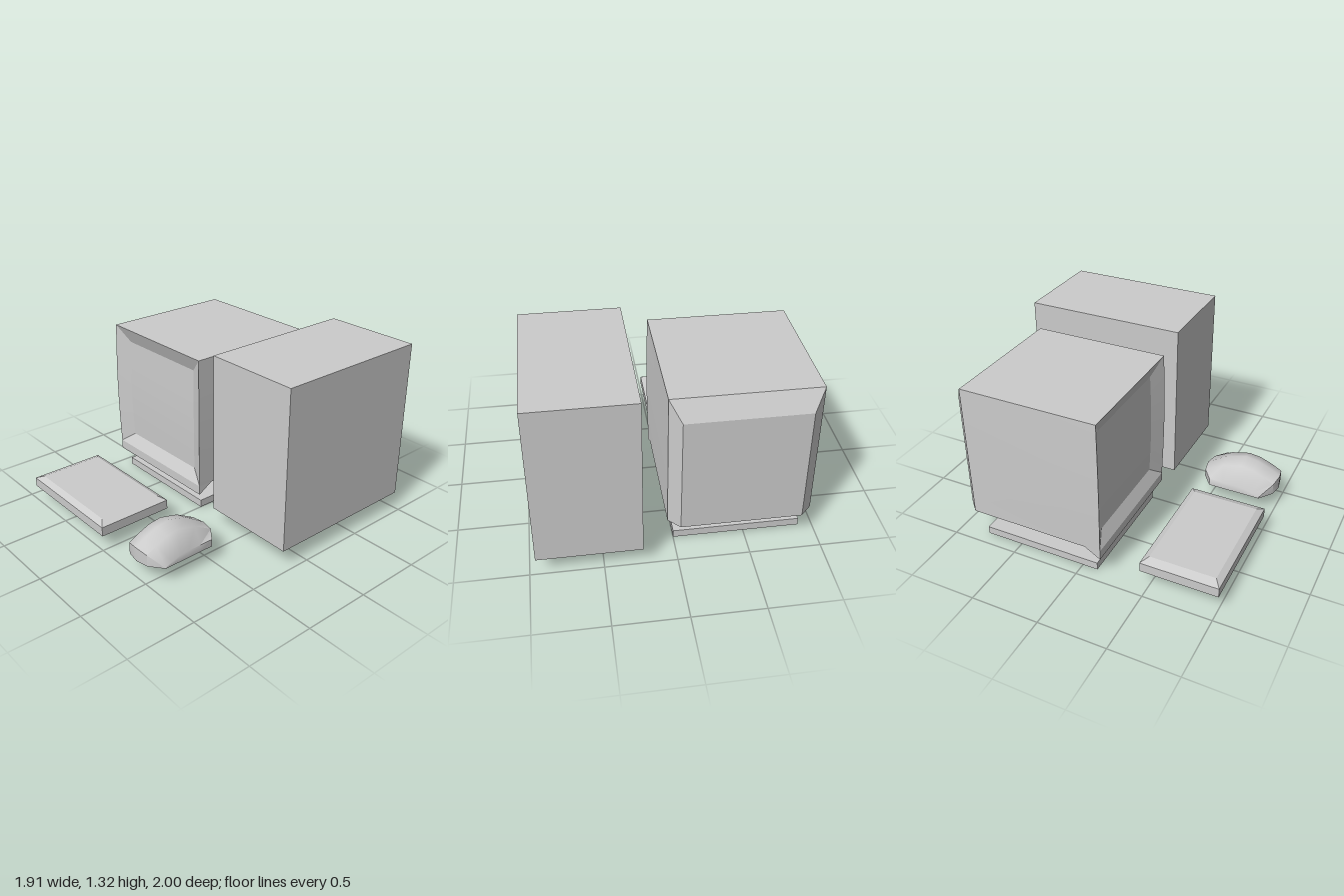
import * as THREE from 'three';
import { toCreasedNormals } from 'three/addons/utils/BufferGeometryUtils.js';

const grey = new THREE.MeshStandardMaterial({ color: 0xcccccc });

function add(group, name, geometry) {
  const mesh = new THREE.Mesh(geometry, grey);
  mesh.name = name;
  group.add(mesh);
  return mesh;
}

// Box given by its min and max extents
function box(x0, x1, y0, y1, z0, z1) {
  return new THREE.BoxGeometry(x1 - x0, y1 - y0, z1 - z0)
    .translate((x0 + x1) / 2, (y0 + y1) / 2, (z0 + z1) / 2);
}

// Skin closed rings of equal length; both ends are capped by joining point i to its opposite
function loft(rings, crease) {
  const pos = [];
  const quad = (a, b, c, d) => pos.push(...a, ...b, ...c, ...a, ...c, ...d);
  const n = rings[0].length;
  for (let k = 0; k < rings.length - 1; k++) {
    for (let i = 0; i < n; i++) {
      const j = (i + 1) % n;
      quad(rings[k][i], rings[k][j], rings[k + 1][j], rings[k + 1][i]);
    }
  }
  const first = rings[0], last = rings[rings.length - 1];
  for (let i = 0; i < n / 2 - 1; i++) {
    const o = n - 1 - i;
    quad(last[i], last[i + 1], last[o - 1], last[o]);
    quad(first[o], first[o - 1], first[i + 1], first[i]);
  }
  const g = new THREE.BufferGeometry();
  g.setAttribute('position', new THREE.Float32BufferAttribute(pos, 3));
  g.computeVertexNormals();
  return toCreasedNormals(g, crease);
}

// Upright rectangle whose sides may bulge outwards and forwards at mid height
function frame(cx, halfW, y0, y1, z, bulge = 0, steps = 8) {
  const right = [], left = [];
  for (let i = 0; i <= steps; i++) {
    const t = i / steps, b = bulge * Math.sin(Math.PI * t), y = y0 + (y1 - y0) * t;
    right.push([cx + halfW + b, y, z + b]);
    left.unshift([cx - halfW - b, y, z + b]);
  }
  return [...right, ...left];
}

function createMonitor() {
  const monitor = new THREE.Group();
  monitor.name = 'monitor';
  // Casing with chamfered back and recessed screen
  add(monitor, 'monitorCasing', loft([
    frame(-0.45, 0.42, 0.22, 1.08, -0.92),
    frame(-0.45, 0.5, 0.22, 1.22, -0.84),
    frame(-0.45, 0.5, 0.22, 1.22, 0.165, 0.008),
    frame(-0.45, 0.38, 0.31, 1.1, 0.115, 0.008),
  ], 0.3));
  // Wedge-shaped lip under the screen
  const wedge = new THREE.Shape([[0.05, 0.22], [0.165, 0.15], [0.165, 0.22]]
    .map(([z, y]) => new THREE.Vector2(z, y)));
  add(monitor, 'frontLip', new THREE.ExtrudeGeometry(wedge, { depth: 1, bevelEnabled: false })
    .rotateY(-Math.PI / 2).translate(0.05, 0, 0));
  // Stand
  add(monitor, 'standNeck', box(-0.68, -0.22, 0.055, 0.22, -0.56, -0.1));
  add(monitor, 'standBase', box(-0.9, 0, 0, 0.057, -0.78, 0.113));
  return monitor;
}

// Slab with a low bevelled top
function createKeyboard() {
  const slab = (halfX, halfZ, y) => [
    [-0.45 - halfX, y, 0.718 - halfZ], [-0.45 - halfX, y, 0.718 + halfZ],
    [-0.45 + halfX, y, 0.718 + halfZ], [-0.45 + halfX, y, 0.718 - halfZ],
  ];
  return loft([slab(0.455, 0.282, 0.12), slab(0.455, 0.282, 0.19), slab(0.393, 0.238, 0.215)], 0.1);
}

// Domed mouse: side-to-side columns blending from the rim profile to the centre ridge
function createMouse() {
  const along = [0, 0.26, 0.52, 0.69, 0.86, 1];
  const ridge = [0.18, 0.28, 0.325, 0.31, 0.27, 0.225];
  const rim = [0.175, 0.175, 0.175, 0.17, 0.15, 0.13];
  const columns = [
    [0.19, 0, 0.5, 0.895], [0.29, 0.8, 0.427, 0.972], [0.388, 1, 0.41, 0.99],
    [0.486, 0.8, 0.427, 0.972], [0.585, 0, 0.5, 0.895],
  ];
  return loft(columns.map(([x, w, back, front]) => {
    const top = along.map((v, i) => [x, rim[i] + (ridge[i] - rim[i]) * w, back + (front - back) * v]);
    return [...top, ...top.map(([px, , z]) => [px, 0.12, z]).reverse()];
  }), 0.9);
}

export function createModel() {
  const model = new THREE.Group();
  model.name = 'desktopComputer';
  model.add(createMonitor());
  add(model, 'tower', box(0.235, 0.955, 0.13, 1.32, -1, 0.188));
  add(model, 'keyboard', createKeyboard());
  add(model, 'mouse', createMouse());
  return model;
}
